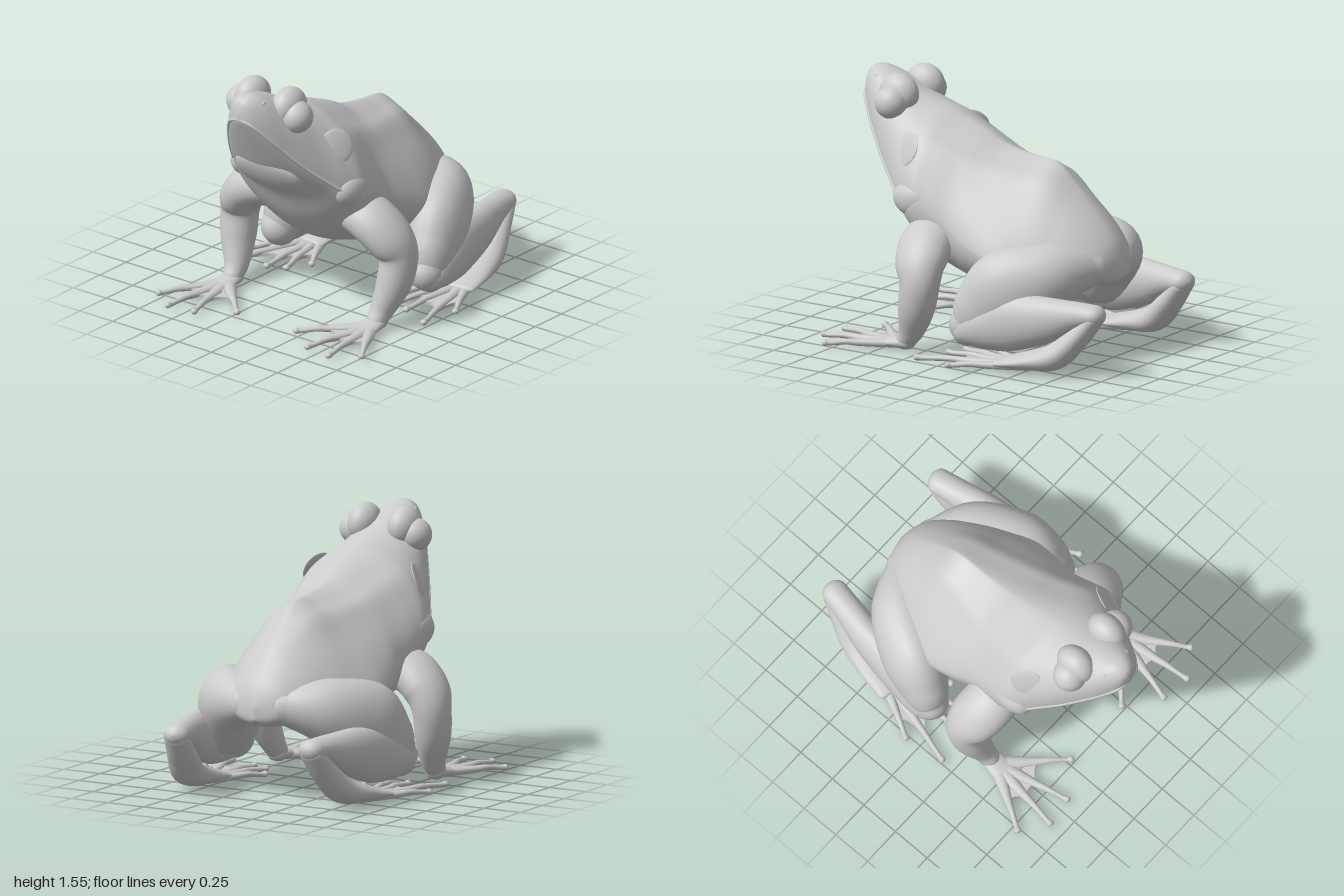
import * as THREE from 'three';

const mat = new THREE.MeshStandardMaterial({ color: 0xcccccc });
const V = (x, y, z) => new THREE.Vector3(x, y, z);

function add(parent, name, geo, pos) {
  const m = new THREE.Mesh(geo, mat);
  m.name = name;
  if (pos) m.position.set(...pos);
  parent.add(m);
  return m;
}

// Catmull-Rom through every column of a small table, u in 0..1
function spline(rows, u) {
  const f = u * (rows.length - 1), i = Math.min(Math.floor(f), rows.length - 2), t = f - i;
  const r = k => rows[Math.max(0, Math.min(rows.length - 1, k))];
  return rows[0].map((_, c) => {
    const [a, b, d, e] = [r(i - 1)[c], r(i)[c], r(i + 1)[c], r(i + 2)[c]];
    return b + 0.5 * t * (d - a + t * (2 * a - 5 * b + 4 * d - e + t * (3 * (b - d) + e - a)));
  });
}

// Smooth skin over closed rings of equal length
function skin(rings) {
  const n = rings[0].length, pos = [], idx = [];
  rings.forEach(r => r.forEach(p => pos.push(p.x, p.y, p.z)));
  for (let i = 0; i < rings.length - 1; i++) for (let j = 0; j < n; j++) {
    const a = i * n + j, b = i * n + (j + 1) % n;
    idx.push(a, a + n, b, b, a + n, b + n);
  }
  const g = new THREE.BufferGeometry();
  g.setAttribute('position', new THREE.Float32BufferAttribute(pos, 3));
  g.setIndex(idx);
  g.computeVertexNormals();
  return g;
}

// Sweep an ellipse along rows of [x, y, z, sideRadius, upRadius], with round ends
function limb(rows, s, ref, steps = 30, sides = 24) {
  const at = u => { const r = spline(rows, u); r[0] *= s; return r; };
  const rings = [];
  const ring = (u, shift, k) => {
    const c = at(u), p = at(Math.max(0, u - 0.01)), q = at(Math.min(1, u + 0.01));
    const T = V(q[0] - p[0], q[1] - p[1], q[2] - p[2]).normalize();
    const U = ref.clone().addScaledVector(T, -ref.dot(T)).normalize();
    const S = T.clone().cross(U);
    const o = V(c[0], c[1], c[2]).addScaledVector(T, shift * Math.min(c[3], c[4]));
    rings.push(Array.from({ length: sides }, (_, j) => {
      const a = j / sides * Math.PI * 2;
      return o.clone().addScaledVector(S, Math.cos(a) * c[3] * k).addScaledVector(U, Math.sin(a) * c[4] * k);
    }));
  };
  const caps = [0, 0.2, 0.4, 0.6, 0.8].map(k => k * Math.PI / 2);
  caps.forEach(a => ring(0, -Math.cos(a), Math.sin(a)));
  for (let i = 0; i <= steps; i++) ring(i / steps, 0, 1);
  caps.reverse().forEach(a => ring(1, Math.cos(a), Math.sin(a)));
  return skin(rings);
}

// Body sections: z, top, bottom, half width, height of widest point, upper and lower roundness
const BODY = [
  [1.0, 1.44, 1.40, 0, 1.41, 2, 2],
  [0.975, 1.52, 1.35, 0.075, 1.385, 2.2, 1.8],
  [0.9, 1.55, 1.21, 0.155, 1.29, 2.2, 1.8],
  [0.8, 1.525, 1.04, 0.23, 1.17, 2.1, 1.8],
  [0.7, 1.485, 0.91, 0.3, 1.06, 2, 1.8],
  [0.6, 1.43, 0.8, 0.365, 0.97, 1.9, 1.8],
  [0.5, 1.39, 0.64, 0.43, 0.89, 1.85, 1.8],
  [0.4, 1.36, 0.52, 0.47, 0.86, 1.75, 1.9],
  [0.3, 1.32, 0.44, 0.465, 0.83, 1.65, 2],
  [0.15, 1.26, 0.38, 0.455, 0.75, 1.55, 2],
  [0, 1.19, 0.35, 0.485, 0.68, 1.45, 2],
  [-0.2, 1.155, 0.36, 0.5, 0.61, 1.32, 2],
  [-0.36, 1.135, 0.39, 0.455, 0.58, 1.3, 2],
  [-0.5, 1.01, 0.42, 0.385, 0.57, 1.45, 2],
  [-0.65, 0.86, 0.44, 0.29, 0.56, 1.65, 2],
  [-0.77, 0.71, 0.46, 0.17, 0.55, 1.8, 2],
  [-0.82, 0.57, 0.5, 0, 0.54, 2, 2],
];

function bodyGeometry() {
  const rings = [], steps = 112, sides = 96;
  for (let i = 0; i <= steps; i++) {
    const [z, top, bottom, w, mid, nT, nB] = spline(BODY, i / steps);
    const ridge = 0.022 * THREE.MathUtils.smoothstep(z, -0.6, -0.35) * (1 - THREE.MathUtils.smoothstep(z, 0.25, 0.5));
    const ridgeX = 0.23 + 0.22 * z;
    rings.push(Array.from({ length: sides }, (_, j) => {
      const a = j / sides * Math.PI * 2, c = Math.cos(a), s = Math.sin(a), n = s > 0 ? nT : nB;
      const x = Math.max(0, w) * Math.sign(c) * Math.abs(c) ** (2 / n);
      let y = mid + (s > 0 ? top - mid : mid - bottom) * Math.sign(s) * Math.abs(s) ** (2 / n);
      // raised fold along each side of the back
      if (s > 0) y += ridge * Math.exp(-(((Math.abs(x) - ridgeX) / 0.06) ** 2));
      return V(x, y, z);
    }));
  }
  return skin(rings);
}

// Webbed fan of toes: base [x, z], tips [x, z], web reach 0..1
function toes(parent, name, s, base, tips, reach) {
  const lerp = (t, k) => [base[0] + (t[0] - base[0]) * k, base[1] + (t[1] - base[1]) * k];
  const shape = new THREE.Shape();
  shape.moveTo(s * base[0], -base[1]);
  tips.forEach((t, i) => {
    const p = lerp(t, reach);
    if (i === 0) shape.lineTo(s * p[0], -p[1]);
    else {
      const a = lerp(tips[i - 1], reach * 0.8), b = lerp(t, reach * 0.8);
      shape.quadraticCurveTo(s * (a[0] + b[0]) / 2, -(a[1] + b[1]) / 2, s * p[0], -p[1]);
    }
    const m = lerp(t, 0.5), k = lerp(t, 0.72), e = lerp(t, 0.93);
    add(parent, name + 'Toe', limb([
      [base[0], 0.035, base[1], 0.05, 0.03],
      [m[0], 0.032, m[1], 0.027, 0.022],
      [k[0], 0.036, k[1], 0.019, 0.018],
      [e[0], 0.026, e[1], 0.015, 0.015],
      [t[0], 0.027, t[1], 0.022, 0.019],
    ], s, V(0, 1, 0), 16, 10));
  });
  shape.closePath();
  const web = new THREE.ExtrudeGeometry(shape, { depth: 0.02, bevelEnabled: false, curveSegments: 8 });
  web.rotateX(-Math.PI / 2);
  add(parent, name + 'Web', web, [0, 0.014, 0]);
}

export function createModel() {
  const frog = new THREE.Group();
  frog.name = 'frog';
  add(frog, 'body', bodyGeometry());

  // Lip following the widest line of the jaw
  const side = BODY.slice(1, 8).map(r => V(r[3] - 0.004, r[4], r[0]));
  const mirrored = side.map(p => V(-p.x, p.y, p.z)).reverse();
  const lipPath = new THREE.CatmullRomCurve3([...mirrored, V(0, 1.405, 0.988), ...side]);
  add(frog, 'lip', new THREE.TubeGeometry(lipPath, 80, 0.011, 10));

  // Soft pouch lying along the chin
  const ball = new THREE.SphereGeometry(1, 32, 24);
  const throat = add(frog, 'throat', ball, [0, 0.975, 0.708]);
  throat.scale.set(0.24, 0.17, 0.06);
  throat.rotation.x = 0.62;

  for (const s of [1, -1]) {
    const half = new THREE.Group();
    half.name = s > 0 ? 'leftSide' : 'rightSide';
    frog.add(half);

    // Head details
    add(half, 'eye', ball, [s * 0.203, 1.387, 0.7]).scale.setScalar(0.1);
    add(half, 'eyelid', ball, [s * 0.137, 1.43, 0.69]).scale.set(0.095, 0.122, 0.128);
    add(half, 'nostril', ball, [s * 0.095, 1.5, 0.88]).scale.set(0.012, 0.012, 0.016);
    const drum = add(half, 'eardrum', ball, [s * 0.345, 1.165, 0.495]);
    drum.scale.set(0.105, 0.105, 0.014);
    drum.lookAt(s * 1.245, 1.565, 0.9);
    add(half, 'jawCorner', ball, [s * 0.39, 0.885, 0.41]).scale.set(0.085, 0.11, 0.14);

    // Front leg
    add(half, 'arm', limb([
      [0.28, 0.68, 0.25, 0.13, 0.15],
      [0.43, 0.655, 0.28, 0.135, 0.165],
      [0.55, 0.555, 0.255, 0.127, 0.16],
      [0.6, 0.44, 0.23, 0.114, 0.125],
      [0.59, 0.28, 0.26, 0.105, 0.112],
      [0.555, 0.13, 0.32, 0.075, 0.08],
      [0.545, 0.06, 0.37, 0.06, 0.06],
    ], s, V(0, 0, 1), 40));
    add(half, 'palm', limb([
      [0.545, 0.05, 0.35, 0.06, 0.045],
      [0.545, 0.038, 0.46, 0.075, 0.03],
      [0.545, 0.03, 0.55, 0.085, 0.02],
    ], s, V(0, 1, 0), 10));
    toes(half, 'hand', s, [0.545, 0.42], [[0.77, 0.79], [0.61, 0.905], [0.43, 0.88], [0.225, 0.73]], 0.58);

    // Hind leg
    add(half, 'thigh', limb([
      [0.13, 0.57, -0.69, 0.1, 0.11],
      [0.32, 0.54, -0.53, 0.18, 0.2],
      [0.46, 0.43, -0.32, 0.19, 0.27],
      [0.53, 0.31, -0.17, 0.15, 0.2],
      [0.56, 0.22, -0.09, 0.11, 0.12],
    ], s, V(0, 1, 0), 36));
    add(half, 'shank', limb([
      [0.565, 0.2, -0.1, 0.11, 0.1],
      [0.57, 0.23, -0.18, 0.115, 0.135],
      [0.56, 0.28, -0.36, 0.11, 0.175],
      [0.53, 0.325, -0.6, 0.1, 0.145],
      [0.49, 0.37, -0.8, 0.085, 0.09],
      [0.465, 0.385, -0.93, 0.08, 0.065],
    ], s, V(0, 1, 0), 36));
    add(half, 'ankle', limb([
      [0.465, 0.36, -0.925, 0.08, 0.055],
      [0.49, 0.235, -0.82, 0.095, 0.07],
      [0.525, 0.115, -0.69, 0.11, 0.08],
      [0.55, 0.072, -0.52, 0.125, 0.055],
      [0.565, 0.045, -0.35, 0.13, 0.028],
    ], s, V(0, 1, 0.3), 30));
    toes(half, 'foot', s, [0.55, -0.5], [[0.775, -0.09], [0.735, 0.16], [0.53, 0.07], [0.42, 0.02], [0.34, -0.12]], 0.75);
  }
  return frog;
}
